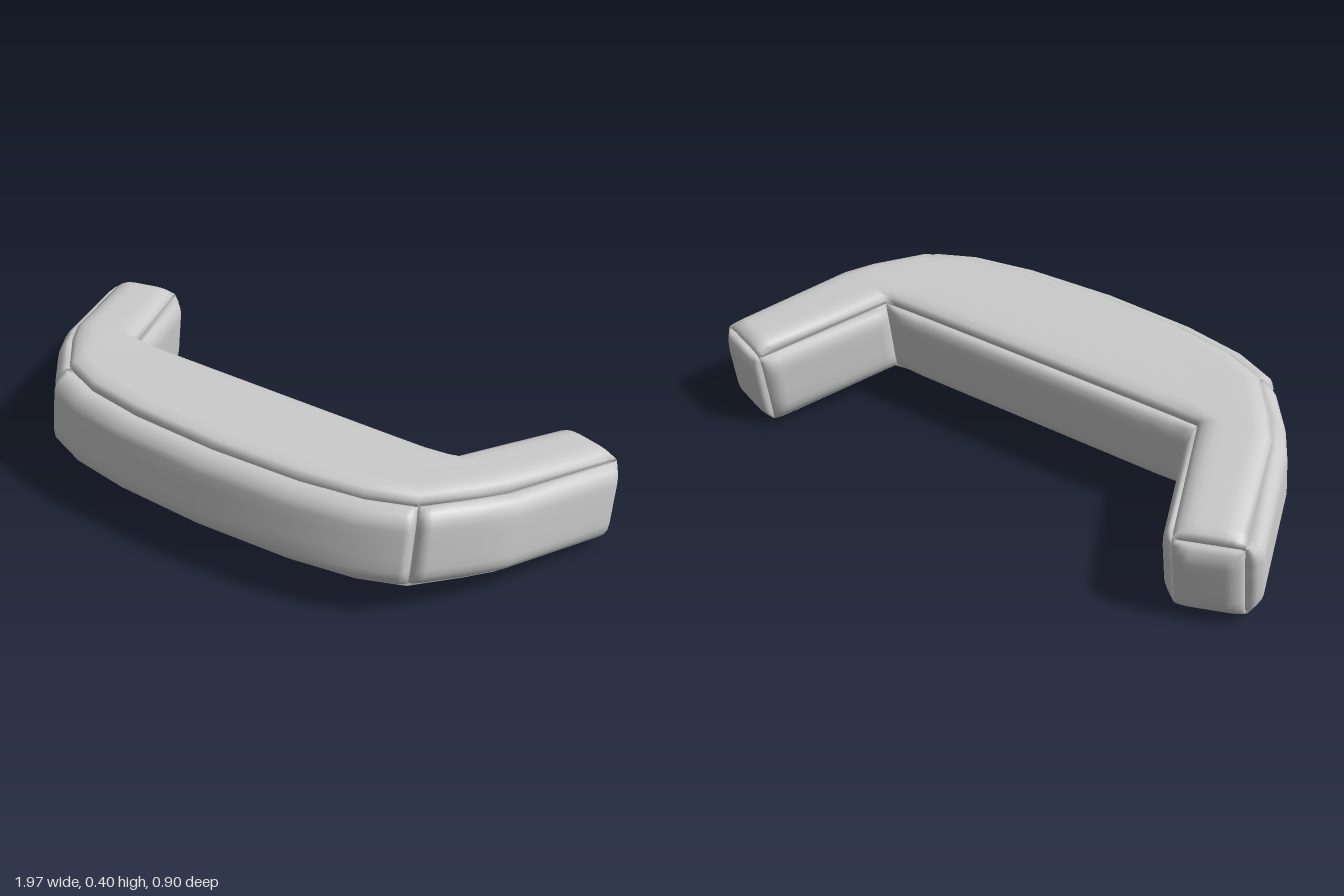
import * as THREE from 'three';

const HALF = 0.125; // half height of the side panels, between the seams

// Tilted frame: plan position (x, z) and height h above the tilted middle surface
const at = ([x, z], h) => new THREE.Vector3(
  x, 0.23 + (z - 0.1) * (z < 0.1 ? 0.14 : 0.07) + h, z - 0.14 * h);

// Right half of the plan: [inner point, outer point] from the middle to the arm end
const half = [
  [[0, 0], [0, 0.385]], [[0.25, 0], [0.3, 0.37]], [[0.42, 0], [0.5, 0.335]],
  [[0.5, 0], [0.64, 0.275]], [[0.555, 0], [0.755, 0.13]], [[0.59, 0], [0.81, 0.04]],
  [[0.765, -0.42], [0.955, -0.355]],
];
const flip = ([x, z]) => [-x, z];
const plan = [...half.slice(1).reverse().map(p => p.map(flip)), ...half];
const inner = plan.map(p => p[0]), outer = plan.map(p => p[1]);

// Upright wall along a plan path, facing to the given side of it
function wall(path, side) {
  return path.map((p, i) => {
    const a = path[Math.max(i - 1, 0)], b = path[Math.min(i + 1, path.length - 1)];
    const n = new THREE.Vector3(-(b[1] - a[1]) * side, 0, (b[0] - a[0]) * side).normalize();
    n.y = 0.14 * n.z;
    return { a: at(p, -HALF), b: at(p, HALF), n: n.normalize() };
  });
}

// Flat cushion sheet between the inner and outer paths, facing up or down
function sheet(sign) {
  const n = new THREE.Vector3(0, 0.99, -0.14).multiplyScalar(sign);
  return plan.map(([i, o]) => ({ a: at(i, sign * HALF), b: at(o, sign * HALF), n }));
}

// Rim knots [distance from edge, height]: tucked into the seam, then rounded up
const rim = (w, puff) => [[0.01, -0.01], [0, 0.3 * puff], [0.25 * w, 0.66 * puff],
  [0.6 * w, 0.92 * puff], [w, puff]];

function knots(length, w, puff, middles) {
  const r = rim(w, puff);
  return [...r, ...middles.filter(d => d > w * 1.1 && d < length - w * 1.1).map(d => [d, puff]),
    ...r.slice().reverse().map(([d, h]) => [length - d, h])];
}

// Puffed panel over a strip of stations, with rounded rims on all four sides
function pillow(name, stations, puff, wAlong, wAcross) {
  const mids = stations.map(s => s.a.clone().lerp(s.b, 0.5));
  const dist = [0];
  for (let i = 1; i < mids.length; i++) dist.push(dist[i - 1] + mids[i].distanceTo(mids[i - 1]));
  const us = knots(dist.at(-1), wAlong, puff, dist);
  const pos = [], idx = [], cols = 13;
  for (const [d, hu] of us) {
    let i = 0;
    while (i < dist.length - 2 && d > dist[i + 1]) i++;
    const t = (d - dist[i]) / (dist[i + 1] - dist[i]);
    const s = stations[i], e = stations[i + 1];
    const a = s.a.clone().lerp(e.a, t), b = s.b.clone().lerp(e.b, t);
    const n = s.n.clone().lerp(e.n, t).normalize();
    const width = a.distanceTo(b);
    const vs = knots(width, wAcross, puff, [0.4 * width, 0.5 * width, 0.6 * width]);
    for (const [v, hv] of vs) {
      const h = hu < 0 || hv < 0 ? Math.min(hu, hv) : hu * hv / puff;
      pos.push(...a.clone().lerp(b, v / width).addScaledVector(n, h).toArray());
    }
  }
  // Wind the faces so that they look along the panel normal
  const along = mids[1].clone().sub(mids[0]);
  const across = stations[0].b.clone().sub(stations[0].a);
  const forward = along.cross(across).dot(stations[0].n) > 0;
  for (let i = 0; i < us.length - 1; i++) {
    for (let j = 0; j < cols - 1; j++) {
      const p = i * cols + j, q = p + cols;
      if (forward) idx.push(p, q, q + 1, p, q + 1, p + 1);
      else idx.push(p, q + 1, q, p, p + 1, q + 1);
    }
  }
  const g = new THREE.BufferGeometry();
  g.setAttribute('position', new THREE.Float32BufferAttribute(pos, 3));
  g.setIndex(idx);
  g.computeVertexNormals();
  const mesh = new THREE.Mesh(g, new THREE.MeshStandardMaterial({
    color: 0xcccccc, side: THREE.DoubleSide }));
  mesh.name = name;
  return mesh;
}

export function createModel() {
  const group = new THREE.Group();
  group.name = 'curvedCushion';

  // Long cushions above and below
  group.add(pillow('topCushion', sheet(1), 0.035, 0.05, 0.06));
  group.add(pillow('bottomCushion', sheet(-1), 0.035, 0.05, 0.06));

  // Outer panels: the front and the two arms
  const out = wall(outer, 1);
  group.add(pillow('frontPanel', out.slice(3, 10), 0.062, 0.035, 0.06));
  group.add(pillow('rightArmOuterPanel', out.slice(0, 4), 0.046, 0.04, 0.06));
  group.add(pillow('leftArmOuterPanel', out.slice(9), 0.046, 0.04, 0.06));

  // Inner panels: the back and the two arms
  group.add(pillow('backPanel', wall(inner.slice(1, 12), -1), 0.04, 0.14, 0.06));
  group.add(pillow('rightArmInnerPanel', wall(inner.slice(0, 2), -1), 0.036, 0.05, 0.06));
  group.add(pillow('leftArmInnerPanel', wall(inner.slice(11), -1), 0.036, 0.05, 0.06));

  // End caps of the arms
  group.add(pillow('rightArmEndCap', wall([inner[0], outer[0]], 1), 0.032, 0.05, 0.06));
  group.add(pillow('leftArmEndCap', wall([inner[12], outer[12]], -1), 0.032, 0.05, 0.06));
  return group;
}
